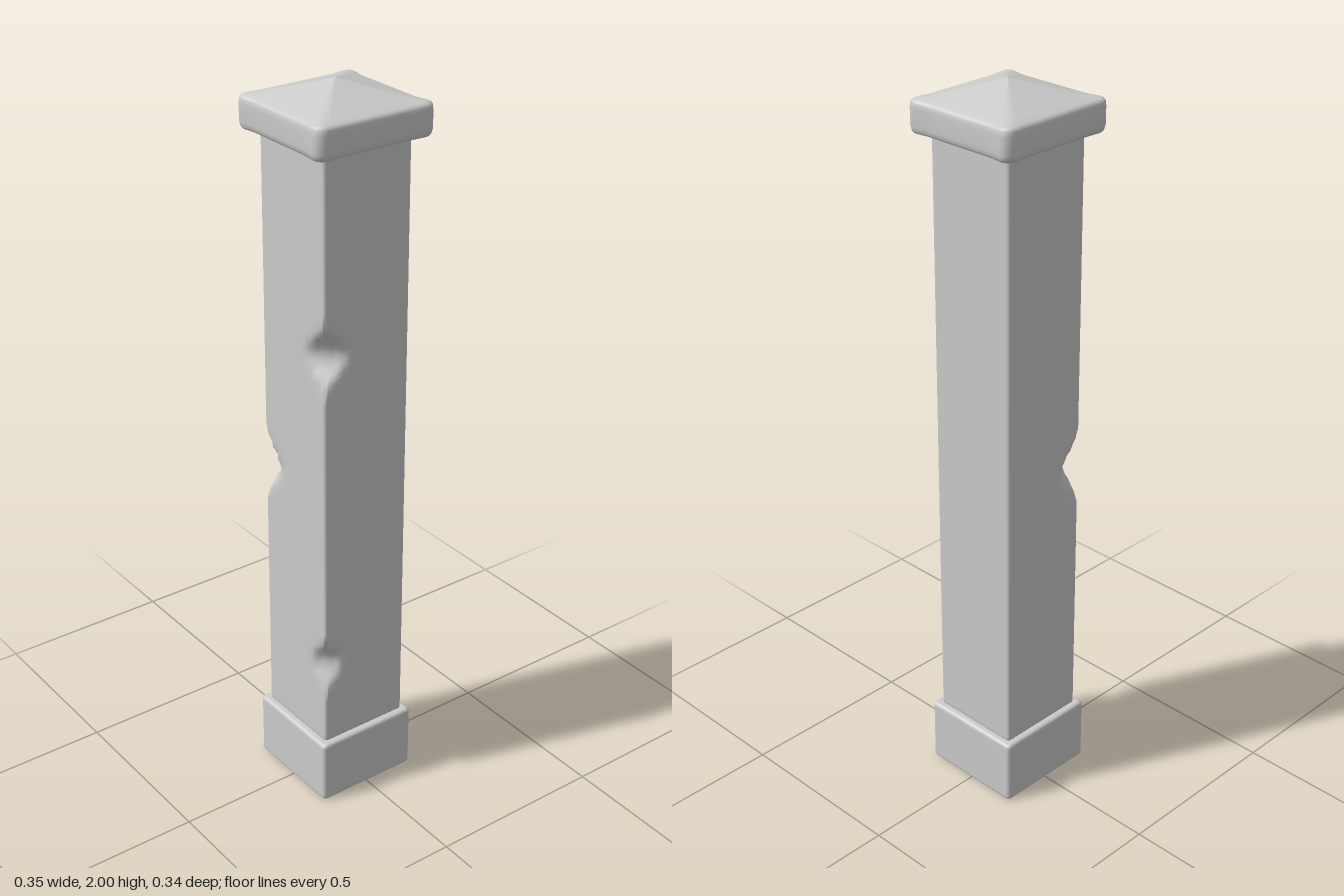
import * as THREE from 'three';

const smooth = THREE.MathUtils.smoothstep;

// Rounded square outline of half-width h and corner radius r, as [x, z] points
function outline(h, r, arcs = 6, sides = 10) {
  const pts = [];
  const c = h - r;
  for (let k = 0; k < 4; k++) {
    const start = k * Math.PI / 2;
    const sx = k === 0 || k === 3 ? 1 : -1;
    const sz = k < 2 ? 1 : -1;
    for (let i = 0; i <= arcs; i++) {
      const a = start + (i / arcs) * Math.PI / 2;
      pts.push([sx * c + r * Math.cos(a), sz * c + r * Math.sin(a)]);
    }
    // straight run to the next corner
    const [px, pz] = pts[pts.length - 1];
    const dx = -Math.sin(start + Math.PI / 2), dz = Math.cos(start + Math.PI / 2);
    for (let i = 1; i < sides; i++) {
      const d = (i / sides) * 2 * c;
      pts.push([px + dx * d, pz + dz * d]);
    }
  }
  return pts;
}

// Closed skin through square rings [y, halfWidth, radius], bottom to top
function loft(rings, deform) {
  const pos = [], index = [];
  const loops = rings.map(([y, h, r]) => outline(h, r).map(([x, z]) => new THREE.Vector3(x, y, z)));
  const n = loops[0].length;
  for (const loop of loops) {
    for (const p of loop) {
      if (deform) deform(p);
      pos.push(p.x, p.y, p.z);
    }
  }
  for (let i = 0; i < loops.length - 1; i++) {
    for (let j = 0; j < n; j++) {
      const a = i * n + j, b = i * n + (j + 1) % n;
      index.push(a, a + n, b, b, a + n, b + n);
    }
  }
  const g = new THREE.BufferGeometry();
  g.setAttribute('position', new THREE.Float32BufferAttribute(pos, 3));
  g.setIndex(index);
  g.computeVertexNormals();
  return g;
}

// Rings of a block with softened top and bottom edges
function blockRings(y0, y1, h, r, b, steps) {
  const rings = [[y0, 0.0001, 0.00005], [y0, h - 1.8 * b, r]];
  for (let i = 0; i <= 4; i++) {
    const a = (i / 4) * Math.PI / 2;
    rings.push([y0 + b * (1 - Math.sin(a)), h - b * (1 - Math.cos(a)), r]);
  }
  rings.splice(2, 5, ...rings.slice(2).reverse());
  for (let i = 0; i <= steps; i++) {
    rings.push([y0 + 1.8 * b + (y1 - y0 - 3.6 * b) * i / steps, h, r]);
  }
  for (let i = 0; i <= 4; i++) {
    const a = (i / 4) * Math.PI / 2;
    rings.push([y1 - b * (1 - Math.sin(a)), h - b * (1 - Math.cos(a)), r]);
  }
  rings.push([y1, h - 1.8 * b, r], [y1, 0.0001, 0.00005]);
  return rings;
}

// Worn dents along the post edges: corner signs, height, half-height, depth
const dents = [
  { sx: -1, sz: 1, y: 1.34, reach: 0.1, depth: 0.045 },
  { sx: -1, sz: 1, y: 0.43, reach: 0.09, depth: 0.034 },
  { sx: -1, sz: -1, y: 0.95, reach: 0.1, depth: 0.042 },
];

function dentPost(p) {
  for (const d of dents) {
    const t = Math.abs(p.y - d.y) / d.reach;
    if (t >= 1) continue;
    // cut back everything beyond a diagonal plane across the corner
    const limit = 0.253 - d.depth * Math.SQRT2 * (1 - smooth(t, 0, 1));
    const over = p.x * d.sx + p.z * d.sz - limit;
    if (over > 0) {
      p.x -= d.sx * over / 2;
      p.z -= d.sz * over / 2;
    }
  }
}

// Cap corners swell outward and lift slightly
function flareCap(p) {
  const ax = Math.abs(p.x), az = Math.abs(p.z);
  const fx = smooth(az, 0.105, 0.155) * smooth(ax, 0.1, 0.16);
  const fz = smooth(ax, 0.105, 0.155) * smooth(az, 0.1, 0.16);
  p.x += Math.sign(p.x) * 0.007 * fx;
  p.z += Math.sign(p.z) * 0.004 * fz;
  if (p.y > 1.93) p.y += 0.003 * fx * fz;
}

export function createModel() {
  const group = new THREE.Group();
  const material = new THREE.MeshStandardMaterial({ color: 0xcccccc });
  const add = (name, geometry) => {
    const mesh = new THREE.Mesh(geometry, material);
    mesh.name = name;
    group.add(mesh);
  };

  add('base', loft(blockRings(0, 0.187, 0.151, 0.012, 0.01, 4)));
  add('post', loft(blockRings(0.18, 1.89, 0.132, 0.009, 0.012, 120), dentPost));

  // cap: soft-edged slab rising into a low pyramid
  const capRings = [
    [1.866, 0.0001, 0.00005], [1.866, 0.135, 0.02], [1.866, 0.157, 0.025],
    [1.868, 0.163, 0.028], [1.874, 0.167, 0.03], [1.885, 0.169, 0.03],
    [1.91, 0.169, 0.03], [1.93, 0.169, 0.03], [1.94, 0.168, 0.03],
    [1.946, 0.165, 0.029], [1.95, 0.159, 0.027],
  ];
  for (let i = 1; i <= 10; i++) {
    const h = 0.159 * (1 - i / 10) + 0.0001;
    capRings.push([1.95 + 0.05 * i / 10, h, h * 0.17]);
  }
  add('cap', loft(capRings, flareCap));
  return group;
}
